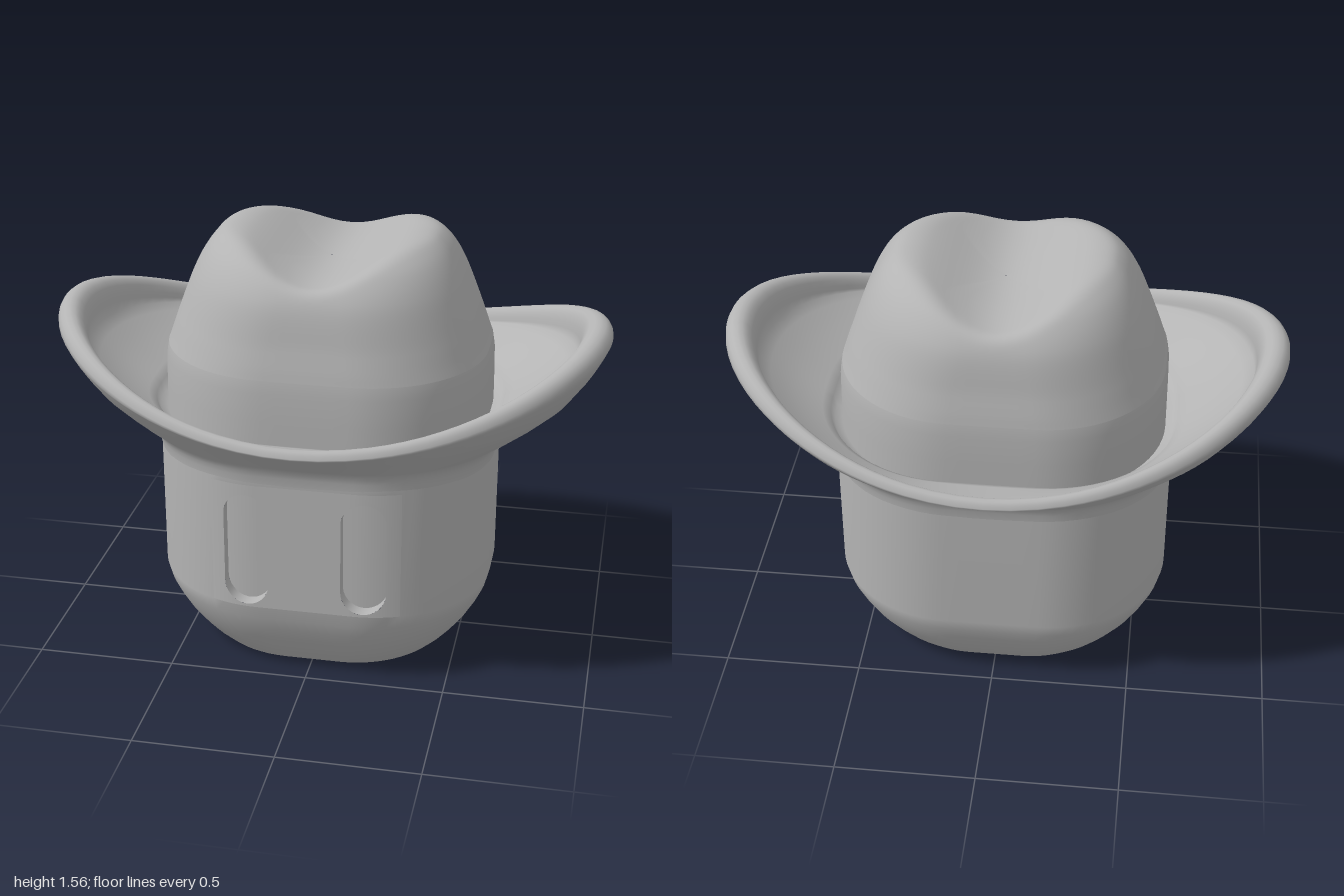
import * as THREE from 'three';

const ARC = 16, FLAT = 6, COUNT = 4 * (ARC + FLAT);
const lerp = THREE.MathUtils.lerp;

// Rounded-rectangle outline in x/z with half sizes a, b and corner radius r
function section(a, b, r) {
  const corners = [[1, 1], [-1, 1], [-1, -1], [1, -1]];
  const arcPoint = (q, t) => new THREE.Vector2(
    corners[q][0] * (a - r) + r * Math.cos((q + t) * Math.PI / 2),
    corners[q][1] * (b - r) + r * Math.sin((q + t) * Math.PI / 2));
  const pts = [];
  for (let q = 0; q < 4; q++) {
    for (let i = 0; i <= ARC; i++) pts.push(arcPoint(q, i / ARC));
    const end = arcPoint(q, 1), next = arcPoint((q + 1) % 4, 0);
    for (let i = 1; i < FLAT; i++) pts.push(end.clone().lerp(next, i / FLAT));
  }
  return pts;
}

const ring = (y, a, b, r) => section(a, b, r).map(p => new THREE.Vector3(p.x, y, p.y));

// Smooth skin through a list of rings; skip(ring, segment) leaves openings
function loft(rings, skip = () => false) {
  const pos = [], index = [];
  rings.forEach(rg => rg.forEach(p => pos.push(p.x, p.y, p.z)));
  for (let j = 0; j < rings.length - 1; j++) {
    for (let i = 0; i < COUNT; i++) {
      if (skip(j, i)) continue;
      const n = (i + 1) % COUNT;
      const a = j * COUNT + i, b = j * COUNT + n, c = a + COUNT, d = b + COUNT;
      index.push(a, c, b, b, c, d);
    }
  }
  const g = new THREE.BufferGeometry();
  g.setAttribute('position', new THREE.Float32BufferAttribute(pos, 3));
  g.setIndex(index);
  g.computeVertexNormals();
  return g;
}

// Strip of quads; at(t, row) gives the point, row 0 being the upper edge
function strip(n, at) {
  const g = new THREE.PlaneGeometry(1, 1, n, 1);
  const p = g.attributes.position;
  for (let row = 0; row < 2; row++) {
    for (let i = 0; i <= n; i++) p.setXYZ(row * (n + 1) + i, ...at(i / n, row));
  }
  g.computeVertexNormals();
  return g;
}

export function createModel() {
  const group = new THREE.Group();
  const grey = new THREE.MeshStandardMaterial({ color: 0xb4b4b4 });
  grey.name = 'plain grey';
  const add = (name, geometry) => {
    const m = new THREE.Mesh(geometry, grey);
    m.name = name;
    group.add(m);
  };

  // Head: rounded box with curved chin, open where the face sits
  const A = 0.61, B = 0.51, R = 0.44, CUT = 12, LOW = 0.28, HIGH = 0.76;
  const headRings = [
    [0, 0.44, 0.37, 0.34], [0.04, 0.477, 0.404, 0.36], [0.08, 0.51, 0.431, 0.38],
    [0.13, 0.545, 0.46, 0.4], [0.18, 0.574, 0.483, 0.42], [0.23, 0.597, 0.5, 0.432],
    [LOW, A, B, R], [HIGH, A, B, R], [0.8, 0.613, 0.513, R], [0.86, A, B, R],
  ].map(v => ring(...v));
  add('head', loft(headRings, (j, i) => j === 6 && i >= CUT && i < 2 * ARC + FLAT - CUT));
  add('headBase', loft([ring(0, 0.0044, 0.0037, 0.0034), headRings[0]]));

  // Face: curved front with two upright recessed eye slots
  const frontZ = x => B - R + Math.sqrt(R * R - Math.max(0, Math.abs(x) - (A - R)) ** 2);
  const EDGE = section(A, B, R)[CUT].x;
  const EYE_X = 0.21, EYE_Y = 0.505, EYE_R = 0.08, EYE_H = 0.135, DEPTH = 0.05;
  const panel = (x0, x1, low, high, back = 0) => strip(24, (t, row) => {
    const x = lerp(x0, x1, (1 - Math.cos(Math.PI * t)) / 2);
    return [x, row ? low(x) : high(x), frontZ(x) - back];
  });
  const bottom = () => LOW, top = () => HIGH;
  const [inX, outX] = [EYE_X - EYE_R, EYE_X + EYE_R];
  for (const [x0, x1] of [[-EDGE, -outX], [-inX, inX], [outX, EDGE]]) {
    add('face', panel(x0, x1, bottom, top));
  }
  for (const cx of [-EYE_X, EYE_X]) {
    const half = x => EYE_H + Math.sqrt(Math.max(0, EYE_R * EYE_R - (x - cx) ** 2));
    const slotLow = x => EYE_Y - half(x), slotHigh = x => EYE_Y + half(x);
    const x0 = cx - EYE_R, x1 = cx + EYE_R;
    add('faceBelowEye', panel(x0, x1, bottom, slotLow));
    add('faceAboveEye', panel(x0, x1, slotHigh, top));
    add('eyeSlotFloor', panel(x0, x1, slotLow, slotHigh, DEPTH));
    const outline = new THREE.Path();
    outline.absarc(cx, EYE_Y - EYE_H, EYE_R, 0, Math.PI, true);
    outline.absarc(cx, EYE_Y + EYE_H, EYE_R, Math.PI, 0, true);
    outline.closePath();
    add('eyeSlotWall', strip(64, (t, row) => {
      const p = outline.getPointAt(t);
      return [p.x, p.y, frontZ(p.x) - row * DEPTH];
    }));
  }

  // Brim: rises to both sides, with a rolled lip along the rim
  const inner = section(A, B, R);
  const fTable = [[0, 0], [0.1, 0.05], [0.3, 0.16], [0.5, 0.3], [0.69, 0.46], [0.85, 0.68], [0.95, 0.84], [1, 1]];
  const rise = t => {
    const k = Math.max(1, fTable.findIndex(p => p[0] >= t));
    const [p, q] = [fTable[k - 1], fTable[k]];
    return lerp(p[1], q[1], (t - p[0]) / (q[0] - p[0]));
  };
  const brimRing = (t, height) => inner.map(p => {
    const phi = Math.atan2(p.y / B, p.x / A);
    const ox = Math.cos(phi), oz = 0.71 * Math.sin(phi);
    const side = ox * ox;
    return new THREE.Vector3(lerp(p.x, ox, t), height(side, 0.965 + 0.245 * side), lerp(p.y, oz, t));
  });
  const under = (t, side, rim) => lerp(0.822, rim, lerp(t, rise(t), side));
  const brimRings = [[-0.01, 0.74], [0.004, 0.77], [0.025, 0.8], [0.055, 0.82]]
    .map(([t, y]) => brimRing(t, () => y));
  for (const t of [0.1, 0.18, 0.3, 0.4, 0.5, 0.6, 0.69, 0.77, 0.85, 0.91, 0.96]) {
    brimRings.push(brimRing(t, (s, rim) => under(t, s, rim)));
  }
  const lip = [[1, -0.015], [0.995, 0.006], [0.97, 0.024], [0.93, 0.036], [0.88, 0.041], [0.83, 0.039],
    [0.78, 0.028], [0.745, 0.008], [0.72, -0.025], [0.715, -0.055]];
  for (const [t, d] of lip) {
    brimRings.push(brimRing(t, (s, rim) => rim + d * (d > 0 ? lerp(0.7, 1, s) : s)));
  }
  for (const t of [0.7, 0.6, 0.48, 0.36, 0.24, 0.12, 0.04]) {
    brimRings.push(brimRing(t, (s, rim) => under(t, s, rim) + lerp(0.1, 0.035 + 0.07 * s, t / 0.72)));
  }
  brimRings.push(brimRing(0, () => 0.9), brimRing(-0.12, () => 0.89));
  add('brim', loft(brimRings));

  // Hat band around the crown foot
  add('hatBand', loft([
    [0.85, 0.583, 0.498, 0.43], [1.0, 0.582, 0.497, 0.43], [1.1, 0.58, 0.494, 0.428],
    [1.145, 0.573, 0.487, 0.424]].map(v => ring(...v))));

  // Crown: tapering dome pressed in by a valley that runs front to back
  const crown = new THREE.CatmullRomCurve3([
    [0.573, 1.145, 0.487], [0.56, 1.18, 0.48], [0.536, 1.25, 0.463], [0.478, 1.4, 0.427],
    [0.437, 1.48, 0.368], [0.397, 1.53, 0.29], [0.345, 1.565, 0.21], [0.2, 1.585, 0.11], [0.002, 1.59, 0.002],
  ].map(p => new THREE.Vector3(...p)));
  const valley = x => 1.503 - 0.06 * Math.cos(Math.PI * Math.min(1, Math.abs(x) / 0.36));
  const softMin = (a, b, k) => {
    const h = Math.max(k - Math.abs(a - b), 0) / k;
    return Math.min(a, b) - h * h * k / 4;
  };
  add('crown', loft(crown.getPoints(80).map(p =>
    ring(p.y, p.x, p.z, 0.87 * Math.min(p.x, p.z)).map(v => {
      v.y = softMin(v.y, valley(v.x), 0.035);
      return v;
    }))));

  return group;
}
